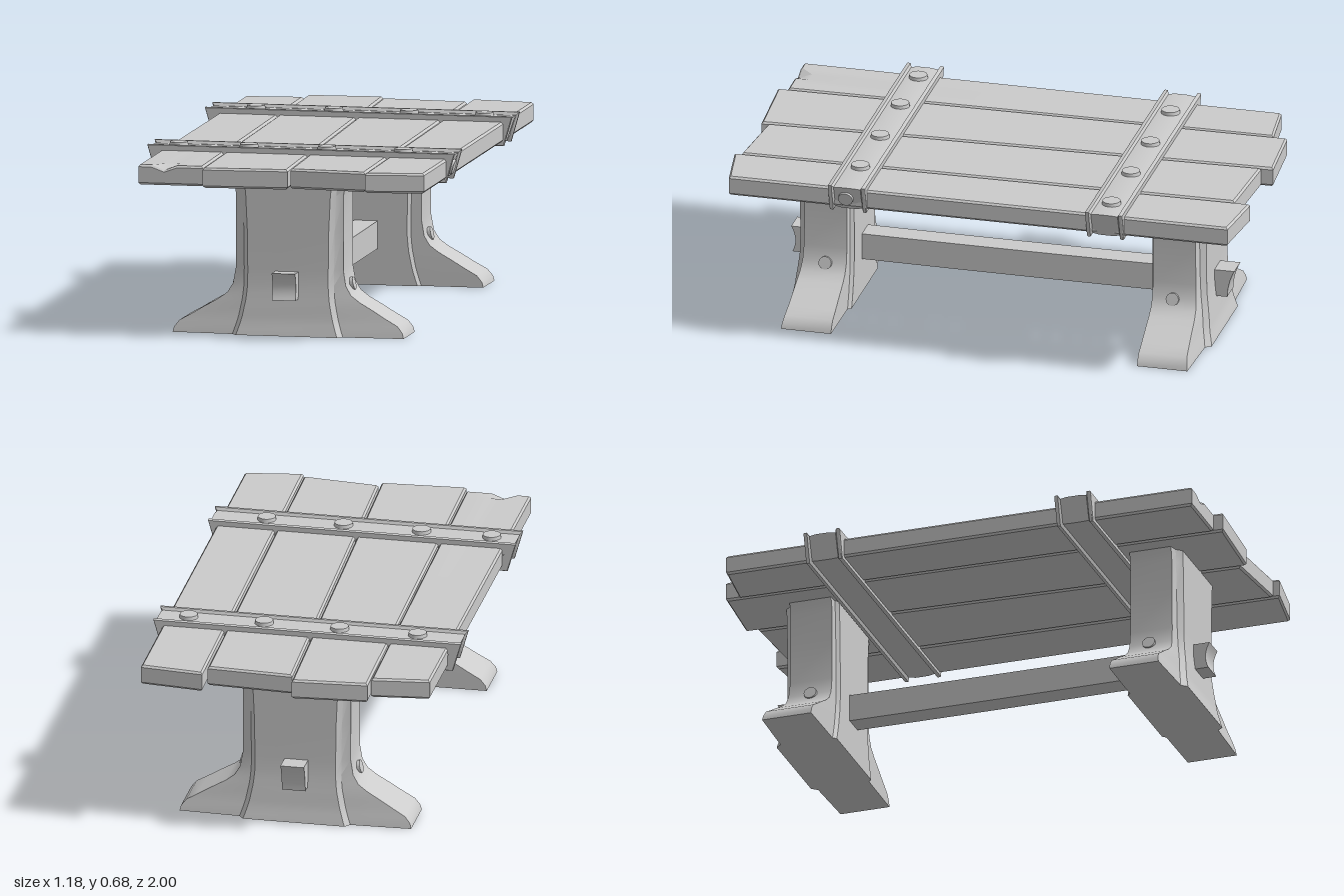
import * as THREE from 'three';
import { toCreasedNormals } from 'three/addons/utils/BufferGeometryUtils.js';

const material = new THREE.MeshStandardMaterial({ color: 0xcccccc });

function add(parent, name, geometry, crease = 0.6) {
  const mesh = new THREE.Mesh(toCreasedNormals(geometry, crease), material);
  mesh.name = name;
  parent.add(mesh);
  return mesh;
}

// Skin through closed rings of Vector3; optional fan caps on both ends
function loft(rings, caps) {
  const n = rings[0].length, pos = [], index = [];
  rings.forEach(r => r.forEach(p => pos.push(p.x, p.y, p.z)));
  for (let i = 0; i < rings.length - 1; i++) {
    for (let j = 0; j < n; j++) {
      const a = i * n + j, b = i * n + (j + 1) % n;
      index.push(a, b, b + n, a, b + n, a + n);
    }
  }
  if (caps) {
    [0, rings.length - 1].forEach((i, end) => {
      const c = new THREE.Vector3();
      rings[i].forEach(p => c.addScaledVector(p, 1 / n));
      const m = pos.length / 3;
      pos.push(c.x, c.y, c.z);
      for (let j = 0; j < n; j++) {
        const a = i * n + j, b = i * n + (j + 1) % n;
        if (end) index.push(m, a, b); else index.push(m, b, a);
      }
    });
  }
  const g = new THREE.BufferGeometry();
  g.setAttribute('position', new THREE.Float32BufferAttribute(pos, 3));
  g.setIndex(index);
  return g;
}

// Bevelled plank between four plan corners [x, z]: back left, back right, front left, front right
function plankGeometry([bl, br, fl, fr], chipped) {
  const g = new THREE.BoxGeometry(1, 1, 1, 5, 3, 4), p = g.attributes.position;
  const along = [0, 0.03, 0.5, 0.97, 1], heights = [0.58, 0.588, 0.648, 0.656], bevel = 0.007;
  const mix = THREE.MathUtils.lerp;
  for (let i = 0; i < p.count; i++) {
    const col = Math.round((p.getX(i) + 0.5) * 5);
    const row = Math.round((p.getY(i) + 0.5) * 3);
    const slice = Math.round((p.getZ(i) + 0.5) * 4);
    const u = col / 5, v = along[slice];
    let x = mix(mix(bl[0], br[0], u), mix(fl[0], fr[0], u), v);
    let z = mix(mix(bl[1], br[1], u), mix(fl[1], fr[1], u), v);
    let y = heights[row];
    if (row === 0 || row === 3) {
      x += col === 0 ? bevel : col === 5 ? -bevel : 0;
      z += slice === 0 ? bevel : slice === 4 ? -bevel : 0;
    }
    // small split in the front edge
    if (chipped && slice === 4 && col === 2 && row > 1) y = row === 3 ? 0.637 : 0.63;
    p.setXYZ(i, x, y, z);
  }
  return g;
}

// Trestle leg: a central post with coved sides that flare into feet
function legGeometry() {
  const levels = [ // y, foot half width, post half width, post front z, foot front z
    [0, 0.445, 0.195, 0.82, 0.79], [0.02, 0.44, 0.188, 0.816, 0.787],
    [0.045, 0.42, 0.18, 0.81, 0.782], [0.07, 0.375, 0.173, 0.806, 0.778],
    [0.1, 0.325, 0.167, 0.803, 0.775], [0.13, 0.272, 0.161, 0.799, 0.772],
    [0.155, 0.238, 0.158, 0.796, 0.769], [0.19, 0.217, 0.155, 0.792, 0.765],
    [0.25, 0.207, 0.155, 0.79, 0.762], [0.4, 0.207, 0.157, 0.79, 0.76],
    [0.53, 0.207, 0.163, 0.79, 0.76], [0.56, 0.212, 0.166, 0.79, 0.76], [0.59, 0.223, 0.17, 0.79, 0.76]
  ];
  return loft(levels.map(([y, W, w, zf, zs]) => {
    const half = [[w, zf], [w + 0.018, zs + 0.008], [W, zs], [W, 0.595], [w + 0.012, 0.593], [w, 0.58]];
    const mirrored = half.map(([x, z]) => [-x, z]).reverse();
    return [...half, ...mirrored].map(([x, z]) => new THREE.Vector3(x, y, z));
  }), true);
}

// Band around the table top, with a raised lip along both edges
function strapGeometry() {
  const profile = [ // z, inset
    [-0.072, 0.045], [-0.072, 0.002], [-0.069, 0], [-0.058, 0], [-0.052, 0.011], [-0.025, 0.008],
    [0.025, 0.008], [0.052, 0.011], [0.058, 0], [0.069, 0], [0.072, 0.002], [0.072, 0.045]
  ];
  return loft(profile.map(([z, t]) => [
    [0.56 - t, 0.565 + t], [0.592 - t, 0.677 - t], [-0.592 + t, 0.677 - t], [-0.56 + t, 0.565 + t]
  ].map(([x, y]) => new THREE.Vector3(x, y, z))), false);
}

// Stretcher beam: side outline with weathered ends, extruded across x
function beamGeometry() {
  const s = new THREE.Shape();
  s.moveTo(-0.84, 0.14);
  s.quadraticCurveTo(0, 0.134, 0.85, 0.14);
  s.quadraticCurveTo(0.825, 0.19, 0.855, 0.243);
  s.quadraticCurveTo(0, 0.237, -0.868, 0.247);
  s.quadraticCurveTo(-0.842, 0.2, -0.84, 0.14);
  const g = new THREE.ExtrudeGeometry(s, { depth: 0.09, bevelEnabled: false, curveSegments: 8 });
  return g.translate(0, 0, -0.041).rotateY(-Math.PI / 2);
}

export function createModel() {
  const table = new THREE.Group();
  table.name = 'trestleTable';

  // Table top
  const top = new THREE.Group();
  top.name = 'tableTop';
  table.add(top);
  [
    [[-0.54, -0.9], [-0.32, -0.925], [-0.54, 0.957], [-0.291, 0.955]],
    [[-0.317, -0.98], [-0.03, -1], [-0.284, 0.992], [0.038, 0.972]],
    [[-0.022, -0.955], [0.306, -0.937], [0.044, 0.945], [0.337, 0.972]],
    [[0.314, -1], [0.555, -0.975], [0.343, 0.997], [0.562, 0.962]]
  ].forEach((corners, i) => add(top, 'plank' + (i + 1), plankGeometry(corners, i === 0), 0.4));

  // Straps and their rivets
  const rivet = new THREE.CylinderGeometry(0.034, 0.037, 0.02, 20);
  [
    ['front', 0.498, [-0.485, -0.215, 0.085, 0.38]],
    ['back', -0.502, [-0.41, -0.11, 0.18, 0.47]]
  ].forEach(([end, z, xs]) => {
    add(top, end + 'Strap', strapGeometry()).position.z = z;
    xs.forEach(x => add(top, end + 'Rivet', rivet).position.set(x, 0.672, z));
  });
  const endRivet = add(top, 'endRivet', new THREE.CylinderGeometry(0.028, 0.03, 0.02, 20));
  endRivet.position.set(0.568, 0.621, 0.505);
  endRivet.rotation.z = -Math.PI / 2 - 0.27;

  // Legs, each with a pin through its sides
  ['front', 'back'].forEach((end, i) => {
    const leg = new THREE.Group();
    leg.name = end + 'Leg';
    leg.rotation.y = i * Math.PI;
    add(leg, 'post', legGeometry());
    [-1, 1].forEach(s => {
      const pin = add(leg, 'pin', new THREE.CylinderGeometry(0.025, 0.025, 0.05, 16));
      pin.position.set(s * 0.206, 0.185, 0.675);
      pin.rotation.z = -s * (Math.PI / 2 - 0.25);
    });
    table.add(leg);
  });

  add(table, 'stretcherBeam', beamGeometry());
  return table;
}
